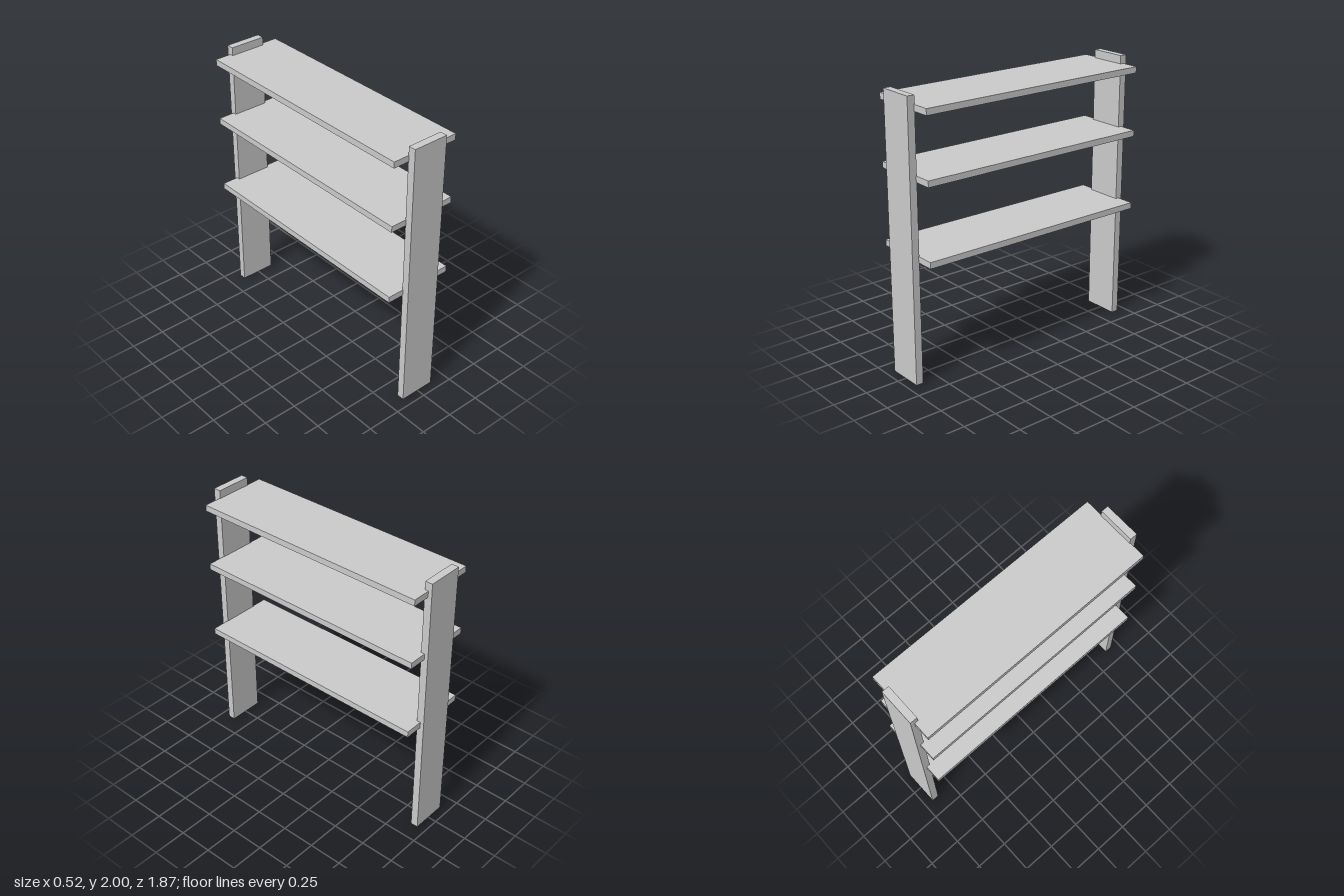
import * as THREE from 'three';

export function createModel() {
  const model = new THREE.Group();
  const material = new THREE.MeshStandardMaterial({ color: 0xcccccc, flatShading: true });

  function addBoard(name, size, position) {
    const board = new THREE.Mesh(new THREE.BoxGeometry(...size), material);
    board.name = name;
    board.position.set(...position);
    model.add(board);
  }

  // Upright planks at both ends, slightly off the centre line
  addBoard('frontUpright', [0.266, 2, 0.054], [-0.005, 1, 0.908]);
  addBoard('backUpright', [0.266, 2, 0.054], [-0.005, 1, -0.908]);

  // Shelves: flush inside the front upright, let into the back one
  const shelves = { lowerShelf: 0.904, middleShelf: 1.454, upperShelf: 1.918 };
  for (const [name, y] of Object.entries(shelves)) {
    addBoard(name, [0.52, 0.045, 1.794], [0, y, -0.011]);
  }

  return model;
}
